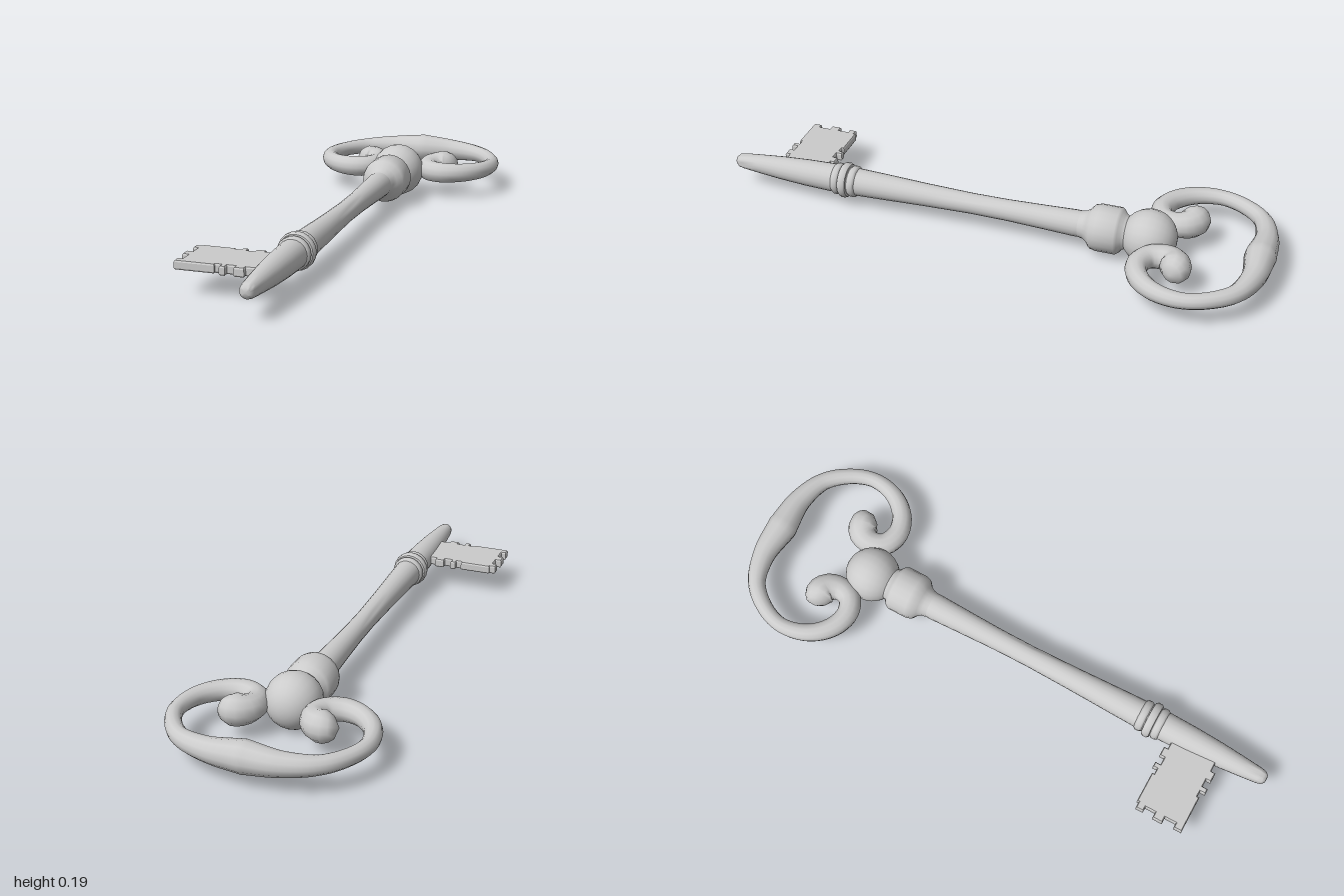
import * as THREE from 'three';
import { mergeVertices, toCreasedNormals } from 'three/addons/utils/BufferGeometryUtils.js';

const AXIS_Y = 0.098;

export function createModel() {
  const key = new THREE.Group();
  key.name = 'key';
  const material = new THREE.MeshStandardMaterial({ color: 0xcccccc });

  const add = (name, geometry) => {
    const mesh = new THREE.Mesh(geometry, material);
    mesh.name = name;
    mesh.position.y = AXIS_Y;
    key.add(mesh);
    return mesh;
  };

  // Turned part along z from [radius, z] pairs
  const turned = (name, profile) => {
    const g = new THREE.LatheGeometry(profile.map(([r, z]) => new THREE.Vector2(r, z)), 20);
    g.rotateX(Math.PI / 2);
    return add(name, toCreasedNormals(g, 0.7));
  };

  turned('shaft', [
    [0.045, -0.36], [0.047, -0.3], [0.043, -0.2], [0.038, -0.05], [0.037, 0.08], [0.041, 0.25],
    [0.047, 0.42], [0.051, 0.55], [0.051, 0.62], [0.048, 0.72], [0.042, 0.82],
    [0.034, 0.91], [0.028, 0.97], [0.024, 0.988], [0.014, 0.998], [0, 1],
  ]);

  turned('collar', [
    [0, -0.53], [0.07, -0.53], [0.058, -0.508], [0.056, -0.49], [0.063, -0.475], [0.076, -0.465], [0.083, -0.455],
    [0.083, -0.385], [0.078, -0.365], [0.06, -0.35], [0.05, -0.335], [0.046, -0.315],
  ]);

  // Ring mouldings above the bit
  [[0.53, 0.057], [0.562, 0.064], [0.592, 0.057]].forEach(([z, r]) => {
    turned('ringMoulding', [
      [0.045, z - 0.016], [r - 0.005, z - 0.014], [r, z - 0.007],
      [r, z + 0.007], [r - 0.005, z + 0.014], [0.045, z + 0.016],
    ]);
  });

  const ball = new THREE.SphereGeometry(0.097, 20, 14);
  ball.rotateX(Math.PI / 2);
  add('ball', ball).position.z = -0.563;

  // Bow: half path as [x, z, radius], mirrored into one tapering tube with scrolled ends
  const half = [
    [0.122, -0.945, 0.041], [0.23, -0.908, 0.031], [0.294, -0.835, 0.028], [0.323, -0.757, 0.027],
    [0.316, -0.683, 0.03], [0.286, -0.624, 0.033], [0.233, -0.579, 0.036], [0.172, -0.565, 0.039],
    [0.12, -0.588, 0.04], [0.103, -0.635, 0.043], [0.12, -0.676, 0.05], [0.152, -0.69, 0.056],
    [0.181, -0.686, 0.043], [0.195, -0.682, 0.028], [0.203, -0.68, 0],
  ];
  const path = [
    ...half.map(([x, z, r]) => [-x, z, r]).reverse(),
    [0, -0.945, 0.055],
    ...half,
  ];
  const curve = new THREE.CatmullRomCurve3(path.map(([x, z]) => new THREE.Vector3(x, 0, z)));
  const steps = 120, sides = 12;
  let bow = new THREE.TubeGeometry(curve, steps, 1, sides);
  const pos = bow.attributes.position;
  const v = new THREE.Vector3();
  for (let i = 0; i <= steps; i++) {
    const u = i / steps;
    const center = curve.getPointAt(u);
    const t = curve.getUtoTmapping(u) * (path.length - 1);
    const k = Math.min(Math.floor(t), path.length - 2);
    const radius = THREE.MathUtils.lerp(path[k][2], path[k + 1][2], t - k);
    for (let j = 0; j <= sides; j++) {
      const n = i * (sides + 1) + j;
      v.fromBufferAttribute(pos, n).sub(center).multiplyScalar(radius).add(center);
      pos.setXYZ(n, v.x, v.y, v.z);
    }
  }
  bow.deleteAttribute('uv');
  bow.deleteAttribute('normal');
  bow = mergeVertices(bow, 1e-5);
  bow.computeVertexNormals();
  add('bow', bow);

  // Bit: notched plate; outline in [x, z]
  const outline = [
    [-0.02, 0.656], [-0.07, 0.656], [-0.07, 0.642], [-0.105, 0.642], [-0.105, 0.66], [-0.132, 0.66],
    [-0.132, 0.64], [-0.152, 0.64], [-0.152, 0.656], [-0.172, 0.656], [-0.172, 0.648], [-0.285, 0.648],
    [-0.285, 0.655], [-0.307, 0.655], [-0.307, 0.683], [-0.29, 0.683], [-0.29, 0.72],
    [-0.311, 0.72], [-0.311, 0.757], [-0.29, 0.757], [-0.29, 0.798], [-0.307, 0.798],
    [-0.307, 0.828], [-0.172, 0.828], [-0.172, 0.82], [-0.152, 0.82], [-0.152, 0.84],
    [-0.132, 0.84], [-0.132, 0.82], [-0.105, 0.82], [-0.105, 0.838], [-0.07, 0.838],
    [-0.07, 0.822], [-0.02, 0.822],
  ];
  const shape = new THREE.Shape(outline.map(([x, z]) => new THREE.Vector2(x, -z)));
  const bit = new THREE.ExtrudeGeometry(shape, {
    depth: 0.02, bevelEnabled: true, bevelThickness: 0.005, bevelSize: 0.003, bevelOffset: -0.003, bevelSegments: 1,
  });
  bit.translate(0, 0, -0.01);
  bit.rotateX(-Math.PI / 2);
  add('bit', bit).position.y = AXIS_Y + 0.003;

  return key;
}
